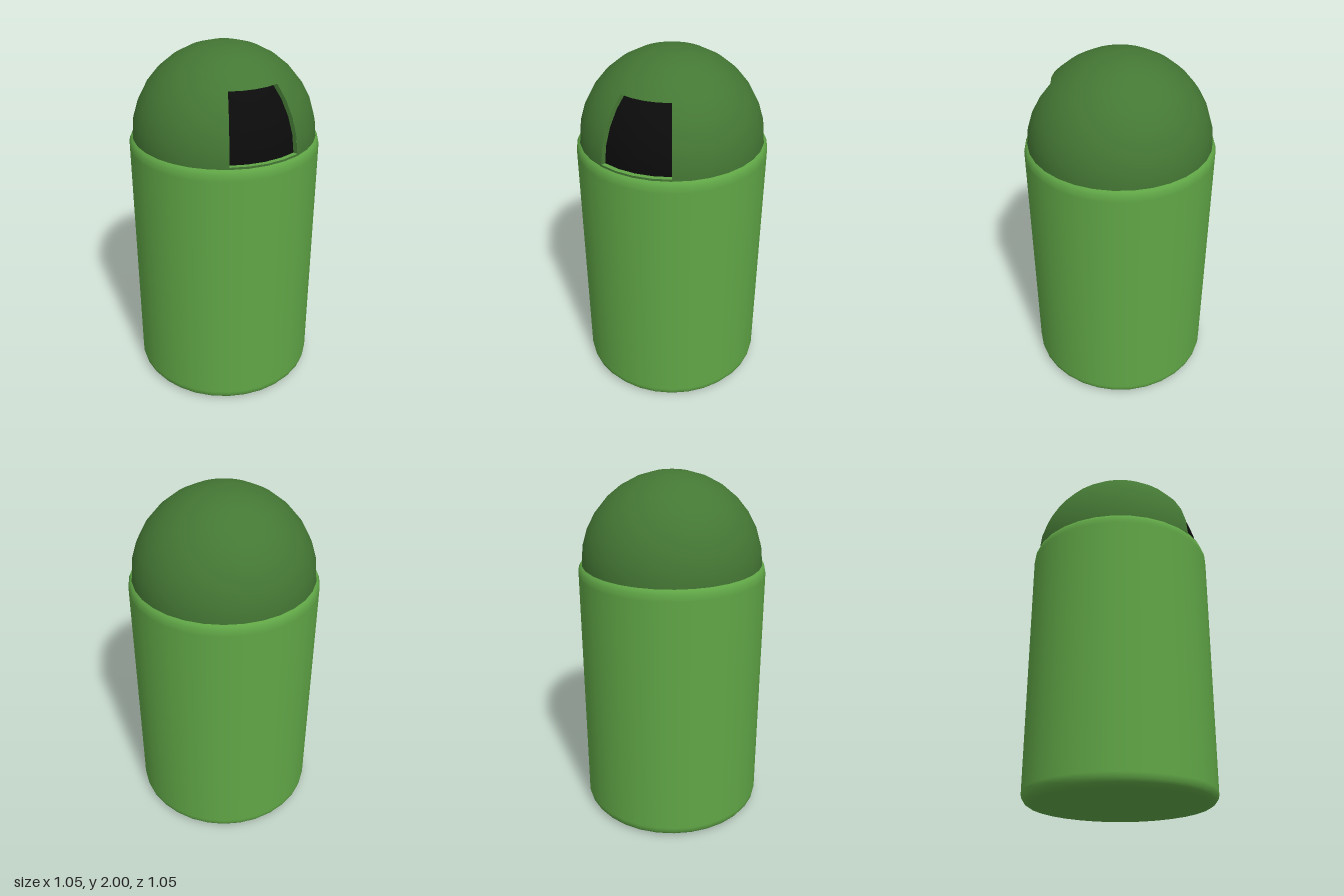
import * as THREE from 'three';

const SIDES = 32, R = 0.505, INNER = 0.48, CENTRE_Y = 1.495;
const STEP = (Math.PI * 2) / SIDES;
const P0 = -STEP, P1 = STEP * 3;            // opening, angles from +z towards +x
const LOW = 0.015, HIGH = 0.355;            // opening heights above the dome centre

const material = (color) => new THREE.MeshStandardMaterial({ color, side: THREE.DoubleSide });
const bodyGreen = material(0x60a646);
const domeGreen = material(0x447734);
const black = material(0x0b0b0b);

export function createModel() {
  const model = new THREE.Group();
  model.name = 'litterBin';

  const add = (parent, name, geometry, mat) => {
    const mesh = new THREE.Mesh(geometry, mat);
    mesh.name = name;
    parent.add(mesh);
    return mesh;
  };
  const lathe = (points, start = 0, length = Math.PI * 2) => new THREE.LatheGeometry(
    points.map(([r, y]) => new THREE.Vector2(r, y)), Math.round(length / STEP), start, length);

  // Body: upright drum with softened rims
  const bevel = 0.05, bodyR = 0.525;
  const profile = [];
  for (let i = 0; i <= 4; i++) {
    const a = (i / 4) * Math.PI / 2;
    profile.push([bodyR - bevel + bevel * Math.sin(a), bevel - bevel * Math.cos(a)]);
  }
  profile.push([bodyR, 0.06], [bodyR, 1.44], [bodyR, 1.455], [0.521, 1.475], [0.514, 1.49], [0.503, 1.5]);
  add(model, 'body', lathe(profile), bodyGreen);
  add(model, 'base', lathe([[0, 0], [bodyR - bevel, 0]]), bodyGreen);
  add(model, 'bodyTop', lathe([[0.503, 1.5], [0.4, 1.5]]), bodyGreen);

  // Dome: cap, side band left open at the front, and a thin sill strip
  const dome = new THREE.Group();
  dome.name = 'dome';
  dome.position.y = CENTRE_Y;
  model.add(dome);
  const patch = (r, p0, p1, t0, t1, rows) => new THREE.SphereGeometry(
    r, Math.round((p1 - p0) / STEP), rows, p0 + Math.PI / 2, p1 - p0, t0, t1 - t0);
  const polar = (r, y) => Math.acos(y / r);
  const top = polar(R, HIGH), sill = polar(R, LOW), full = Math.PI * 2;
  add(dome, 'domeCap', patch(R, 0, full, 0, top, 4), domeGreen);
  add(dome, 'domeBand', patch(R, P1, P0 + full, top, Math.PI / 2, 4), domeGreen);
  add(dome, 'openingSill', patch(R, P0, P1, sill, Math.PI / 2, 1), domeGreen);

  // Dark recessed panel behind the opening
  add(dome, 'openingPanel', patch(INNER, P0, P1, polar(INNER, HIGH), polar(INNER, LOW), 4), black);

  // Thickness of the shell around the opening
  const radiusAt = (r, y) => Math.sqrt(r * r - y * y);
  for (const [name, y, mat] of [['openingCeiling', HIGH, domeGreen], ['openingFloor', LOW, bodyGreen]]) {
    add(dome, name, lathe([[radiusAt(INNER, y), y], [radiusAt(R, y), y]], P0, P1 - P0), mat);
  }
  const edge = (r) => Array.from({ length: 5 }, (_, i) => {
    const t = THREE.MathUtils.lerp(polar(r, LOW), polar(r, HIGH), i / 4);
    return new THREE.Vector2(r * Math.sin(t), r * Math.cos(t));
  });
  const jamb = new THREE.ShapeGeometry(new THREE.Shape([...edge(R), ...edge(INNER).reverse()]));
  for (const [name, p] of [['rightJamb', P0], ['leftJamb', P1]]) {
    add(dome, name, jamb, domeGreen).rotation.y = p - Math.PI / 2;
  }

  return model;
}
